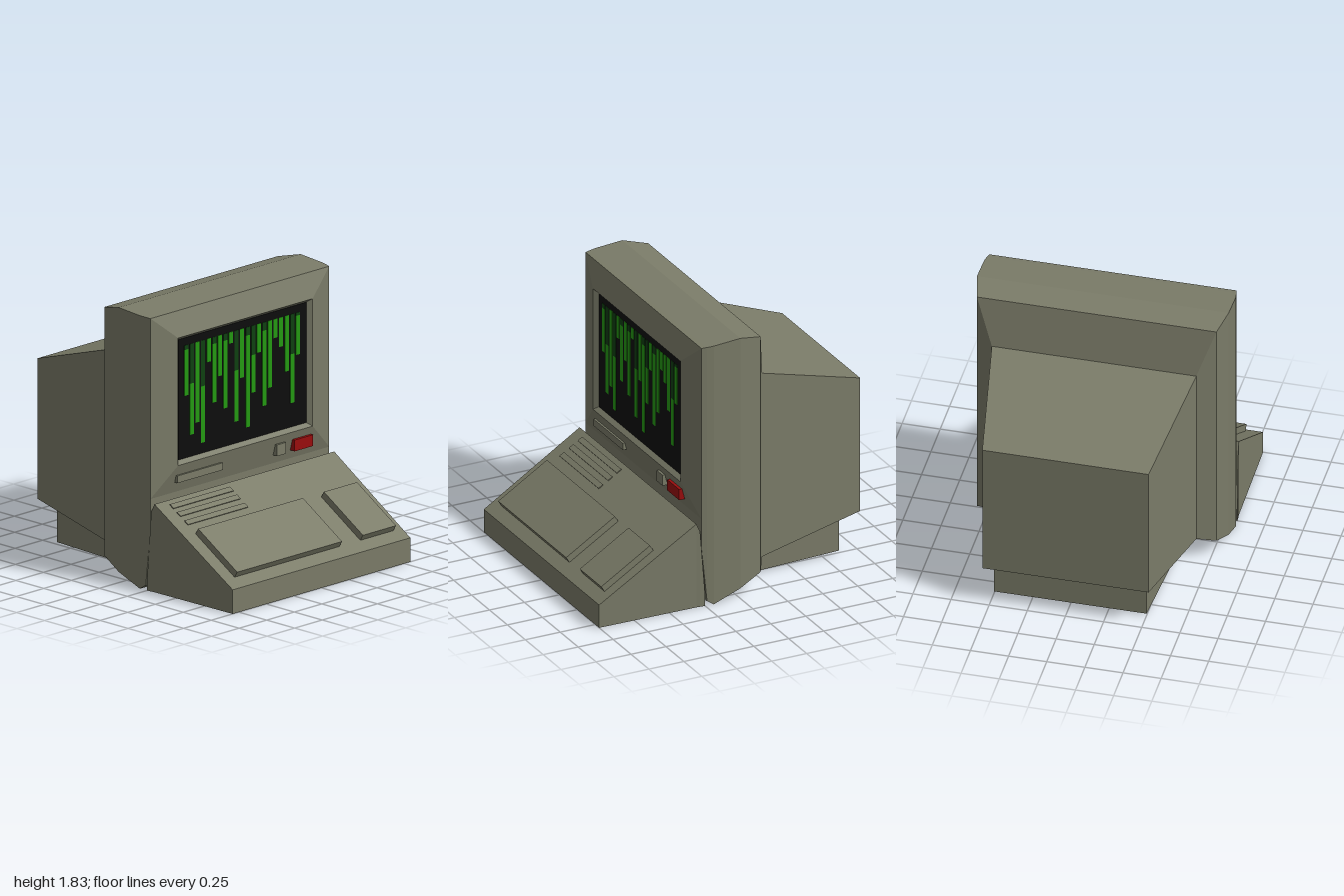
import * as THREE from 'three';

const mat = (name, color) => {
  const m = new THREE.MeshStandardMaterial({ color });
  m.name = name;
  return m;
};

// Joins rectangular sections [z, halfWidth, bottom, top], listed front to back, and caps both ends.
function loft(sections) {
  const rings = sections.map(([z, w, y0, y1]) => [[-w, y0, z], [w, y0, z], [w, y1, z], [-w, y1, z]]);
  const pos = [];
  const quad = (a, b, c, d) => pos.push(...a, ...b, ...c, ...a, ...c, ...d);
  for (let k = 0; k < rings.length - 1; k++) {
    const a = rings[k], b = rings[k + 1];
    for (let i = 0; i < 4; i++) {
      const j = (i + 1) % 4;
      quad(a[j], a[i], b[i], b[j]);
    }
  }
  const first = rings[0], last = rings[rings.length - 1];
  quad(...first);
  quad(last[3], last[2], last[1], last[0]);
  const g = new THREE.BufferGeometry();
  g.setAttribute('position', new THREE.Float32BufferAttribute(pos, 3));
  g.computeVertexNormals();
  return g;
}

export function createModel() {
  const casing = mat('olive casing', 0x7a7b68);
  const glass = mat('black glass', 0x0d0d0d);
  const bright = mat('bright green', 0x249a12);
  const dim = mat('dim green', 0x0e4010);
  const red = mat('red button', 0x990d0d);

  const model = new THREE.Group();
  model.name = 'computerTerminal';
  const add = (name, geometry, material, parent = model) => {
    const mesh = new THREE.Mesh(geometry, material);
    mesh.name = name;
    parent.add(mesh);
    return mesh;
  };
  // Box given by its x, y and z limits
  const box = (name, material, x0, x1, y0, y1, z0, z1, parent = model) => {
    const mesh = add(name, new THREE.BoxGeometry(x1 - x0, y1 - y0, z1 - z0), material, parent);
    mesh.position.set((x0 + x1) / 2, (y0 + y1) / 2, (z0 + z1) / 2);
    return mesh;
  };

  // Monitor: recessed bezel, main shell, tapering tube housing and foot
  add('screenBezel', loft([
    [0.29, 0.58, 0.825, 1.625], [0.32, 0.61, 0.8, 1.648], [0.27, 0.81, 0.61, 1.81],
  ]), casing);
  add('monitorShell', loft([
    [0.27, 0.81, 0.4, 1.81], [0.235, 0.818, 0.03, 1.813], [0.19, 0.825, 0, 1.816],
    [0, 0.825, 0.072, 1.83], [-0.165, 0.785, 0.135, 1.79], [-0.235, 0.67, 0.18, 1.47],
  ]), casing);
  add('tubeHousing', loft([[-0.235, 0.67, 0.18, 1.47], [-1, 0.545, 0.285, 1.22]]), casing);
  add('rearFoot', loft([[0.17, 0.56, 0.015, 0.2], [-0.87, 0.5, 0.015, 0.3]]), casing);

  // Screen with hanging columns: [bright top, bottom], dim above the bright part
  const screen = new THREE.Group();
  screen.name = 'screen';
  model.add(screen);
  box('screenGlass', glass, -0.58, 0.58, 0.825, 1.625, 0.285, 0.293, screen);
  const top = 1.575;
  const columns = [
    [1.545, 1.24], [1.31, 0.97], [top, 1.04], [1.27, 0.895], [top, 1.42], [1.53, 1.14], [top, 1.305],
    [1.53, 1.08], [top, 1.5], [1.31, 0.97], [top, 1.25], [1.52, 0.91], [1.38, 1.13], [top, 1.385],
    [1.52, 1.02], [top, 1.13], [top, 1.45], [top, 1.38], [top, 1.205], [1.31, 0.985], [1.555, 1.295],
  ];
  columns.forEach(([y1, y0], i) => {
    const x = -0.51 + i * 0.0505;
    box('brightColumn', bright, x - 0.018, x + 0.018, y0, y1, 0.292, 0.296, screen);
    if (y1 < top) box('dimColumn', dim, x - 0.018, x + 0.018, y1, top, 0.292, 0.296, screen);
  });

  // Controls under the screen
  box('driveSlot', casing, -0.61, -0.2, 0.682, 0.73, 0.26, 0.315);
  box('smallButton', casing, 0.285, 0.366, 0.67, 0.745, 0.26, 0.322);
  box('powerButton', red, 0.44, 0.607, 0.67, 0.745, 0.26, 0.326);

  // Sloping keyboard base
  add('keyboardBase', loft([
    [1, 0.805, 0, 0.16], [0.31, 0.815, 0, 0.585], [0.285, 0.818, 0, 0.53], [0.25, 0.82, 0, 0.08],
  ]), casing);

  // Raised parts on the slope; local z runs down the slope, local y stands off it
  const slope = new THREE.Group();
  slope.name = 'keyboardTop';
  slope.position.set(0, 0.585, 0.31);
  slope.rotation.x = Math.atan2(0.425, 0.69);
  model.add(slope);
  box('mainKeyPad', casing, -0.71, 0.24, -0.01, 0.045, 0.31, 0.72, slope);
  box('numberKeyPad', casing, 0.43, 0.73, -0.01, 0.045, 0.31, 0.72, slope);
  for (const s of [0.057, 0.131, 0.21]) {
    box('ventStrip', casing, -0.71, -0.165, -0.002, 0.006, s - 0.019, s + 0.019, slope);
  }
  return model;
}
